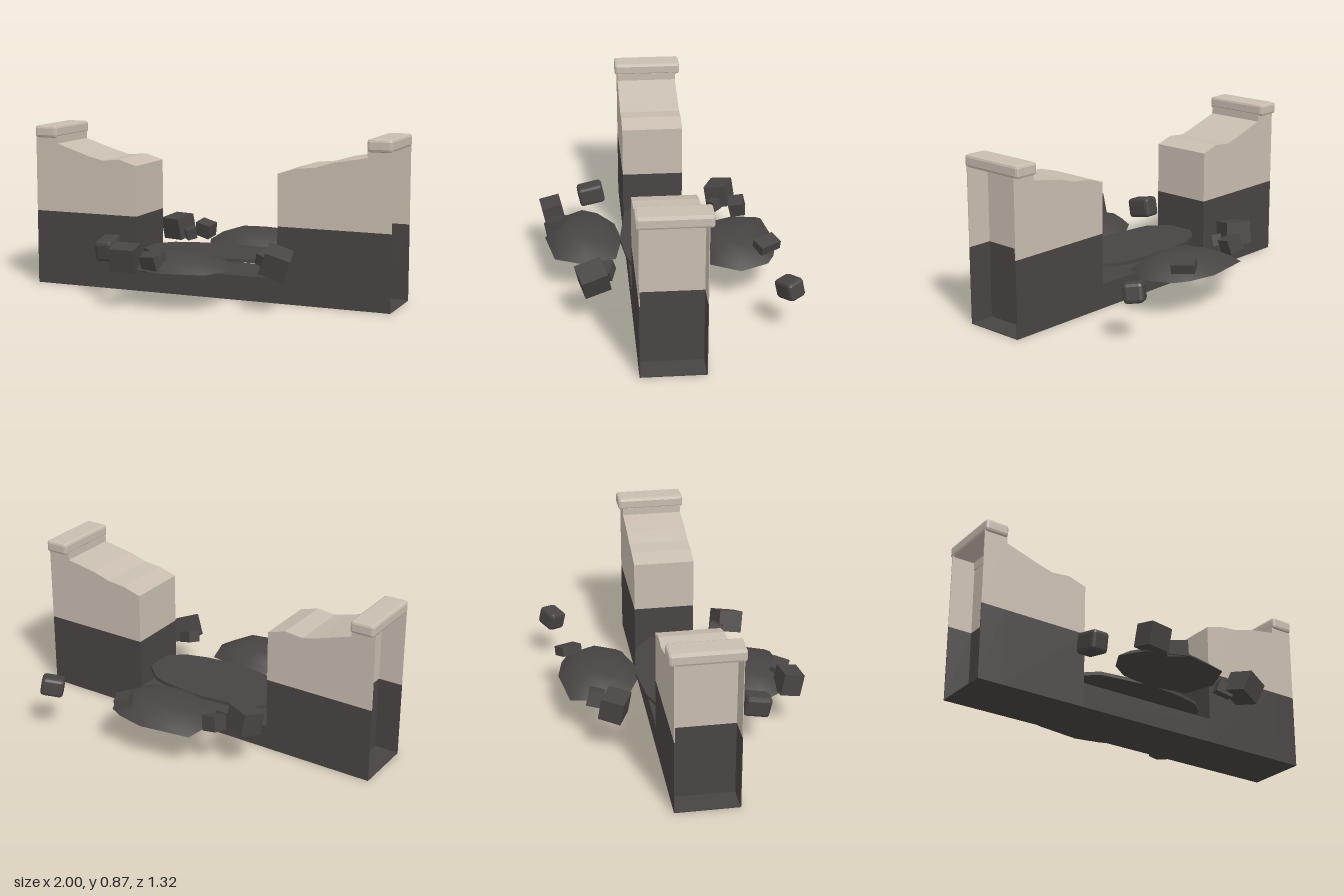
import * as THREE from 'three';
import { RoundedBoxGeometry } from 'three/addons/geometries/RoundedBoxGeometry.js';

const FRONT = 0.19, BACK = -0.14, DEPTH = FRONT - BACK, MID = (FRONT + BACK) / 2;
const END = 0.87, GAP = 0.4, DADO = 0.4, TOP = 0.8, T = 0.004;

export function createModel() {
  const root = new THREE.Group();
  root.name = 'brokenWall';
  const plaster = new THREE.MeshStandardMaterial({ color: 0xc8bdb0 });
  plaster.name = 'beige plaster';
  const stone = new THREE.MeshStandardMaterial({ color: 0x484443 });
  stone.name = 'dark stone';

  const add = (name, geometry, material, parent = root) => {
    const mesh = new THREE.Mesh(geometry, material);
    mesh.name = name;
    parent.add(mesh);
    return mesh;
  };
  // box given by its corner limits
  const block = (name, x0, x1, y0, y1, z0, z1, material, parent) => {
    const g = new THREE.BoxGeometry(Math.abs(x1 - x0), y1 - y0, z1 - z0);
    g.translate((x0 + x1) / 2, (y0 + y1) / 2, (z0 + z1) / 2);
    return add(name, g, material, parent);
  };
  const chamferBox = (w, h, d, r) => {
    const g = new RoundedBoxGeometry(w, h, d, 1, r);
    g.computeVertexNormals();
    return g;
  };

  // low sill joining the two wall stumps
  block('sill', -GAP, GAP, 0, 0.13, BACK, FRONT, stone);

  // wall stumps with broken tops and open channels at the outer ends
  const brokenEdges = [
    [-1, 'rightStump', [[0.4, 0.67], [0.5, 0.7], [0.6, 0.69], [0.68, 0.71], [0.87, 0.77]]],
    [1, 'leftStump', [[0.4, 0.67], [0.5, 0.7], [0.6, 0.71], [0.7, 0.74], [0.87, 0.77]]],
  ];
  for (const [s, name, edge] of brokenEdges) {
    const stump = new THREE.Group();
    stump.name = name;
    root.add(stump);
    block('lowerWall', s * GAP, s * END, 0, DADO, BACK, FRONT, stone, stump);

    const pts = [[END, DADO], [GAP, DADO], ...edge].map(([x, y]) => new THREE.Vector2(s * x, y));
    const upper = new THREE.ExtrudeGeometry(new THREE.Shape(pts), { depth: DEPTH, bevelEnabled: false });
    upper.translate(0, 0, BACK);
    add('upperWall', upper, plaster, stump);

    // thin channel sides, floor and the lip under the cap
    for (const [z0, z1] of [[BACK, BACK + T], [FRONT - T, FRONT]]) {
      block('lowerChannelSide', s * END, s, 0, DADO, z0, z1, stone, stump);
      block('upperChannelSide', s * END, s, DADO, TOP + 0.01, z0, z1, plaster, stump);
    }
    block('channelFloor', s * END, s, 0, T, BACK + T, FRONT - T, stone, stump);
    block('capLip', s * END, s * (END + T), 0.76, TOP + 0.01, BACK + T, FRONT - T, plaster, stump);

    const cap = add('cap', chamferBox(0.13, 0.065, 0.37, 0.014), plaster, stump);
    cap.position.set(s * 0.935, 0.833, 0.02);
  }

  // flat slab lying in the breach
  const slabOutline = [[0.45, 0.03], [0.4, -0.05], [0.3, -0.14], [0.22, -0.165], [0, -0.19],
    [-0.22, -0.165], [-0.32, -0.13], [-0.4, -0.05], [-0.45, 0.02], [-0.4, 0.1], [-0.3, 0.19],
    [0, 0.23], [0.2, 0.205], [0.32, 0.17], [0.4, 0.1]];
  const slab = new THREE.ExtrudeGeometry(
    new THREE.Shape(slabOutline.map(([x, z]) => new THREE.Vector2(x, -z))),
    { depth: 0.018, bevelEnabled: false });
  slab.rotateX(-Math.PI / 2);
  slab.translate(0, 0.201, 0);
  add('breachSlab', slab, stone);

  // smooth mounds: the outline shrinks and rises ring by ring, closed by a flat underside
  const mound = (name, outline) => {
    const n = outline.length, pos = [], index = [];
    const cx = outline.reduce((a, p) => a + p[0], 0) / n;
    const cz = outline.reduce((a, p) => a + p[1], 0) / n;
    const rings = [[1, 0.2], [0.75, 0.247], [0.45, 0.276], [0, 0.283], [1, 0.2], [0, 0.199]];
    for (const [k, y] of rings) {
      for (const [x, z] of outline) pos.push(cx + (x - cx) * k, y, cz + (z - cz) * k);
    }
    for (let r = 0; r < 3; r++) {
      for (let i = 0; i < n; i++) {
        const j = (i + 1) % n, a = r * n + i, b = r * n + j, c = a + n, d = b + n;
        index.push(a, b, c);
        if (r < 2) index.push(b, d, c);
      }
    }
    for (let i = 0; i < n; i++) index.push(4 * n + (i + 1) % n, 4 * n + i, 5 * n + i);
    const g = new THREE.BufferGeometry();
    g.setAttribute('position', new THREE.Float32BufferAttribute(pos, 3));
    g.setIndex(index);
    g.computeVertexNormals();
    return add(name, g, stone);
  };
  mound('backMound', [[0.37, -0.38], [0.3, -0.53], [0.22, -0.57], [0.07, -0.6], [-0.2, -0.56],
    [-0.22, -0.39], [-0.16, -0.24], [-0.02, -0.18], [0.1, -0.17], [0.29, -0.23]]);
  mound('frontMound', [[0.24, 0.42], [0.19, 0.26], [-0.02, 0.22], [-0.2, 0.25], [-0.3, 0.32],
    [-0.36, 0.43], [-0.28, 0.55], [-0.07, 0.63], [0.17, 0.58]]);

  // scattered rubble: position, size, rotation, chamfered or not
  const rubble = [
    [[-0.4, 0.27, -0.35], [0.14, 0.12, 0.12], [0.2, -0.4, 0.12], false],
    [[-0.27, 0.25, -0.435], [0.09, 0.08, 0.08], [0.2, -0.2, -0.2], false],
    [[-0.31, 0.24, -0.31], [0.055, 0.06, 0.05], [0.2, 0.7, 0.1], false],
    [[0.225, 0.275, -0.53], [0.08, 0.05, 0.12], [0.1, 0.5, -0.3], false],
    [[0.65, 0.26, -0.585], [0.12, 0.1, 0.1], [0.15, 0.6, 0.1], true],
    [[-0.473, 0.258, 0.37], [0.1, 0.11, 0.14], [0.2, 0.05, 0.03], true],
    [[-0.265, 0.26, 0.585], [0.13, 0.12, 0.11], [0.2, 0.12, -0.05], false],
    [[-0.115, 0.245, 0.565], [0.11, 0.08, 0.09], [0.25, -0.35, 0.2], false],
    [[0.47, 0.255, 0.39], [0.13, 0.12, 0.14], [0.25, 0.2, -0.4], false],
    [[0.395, 0.25, 0.32], [0.09, 0.06, 0.07], [0.2, -0.35, -0.25], false],
  ];
  rubble.forEach(([p, size, rot, soft], i) => {
    const g = soft ? chamferBox(...size, 0.018) : new THREE.BoxGeometry(...size);
    const chunk = add(`rubble${i + 1}`, g, stone);
    chunk.position.set(...p);
    chunk.rotation.set(...rot);
  });
  return root;
}
